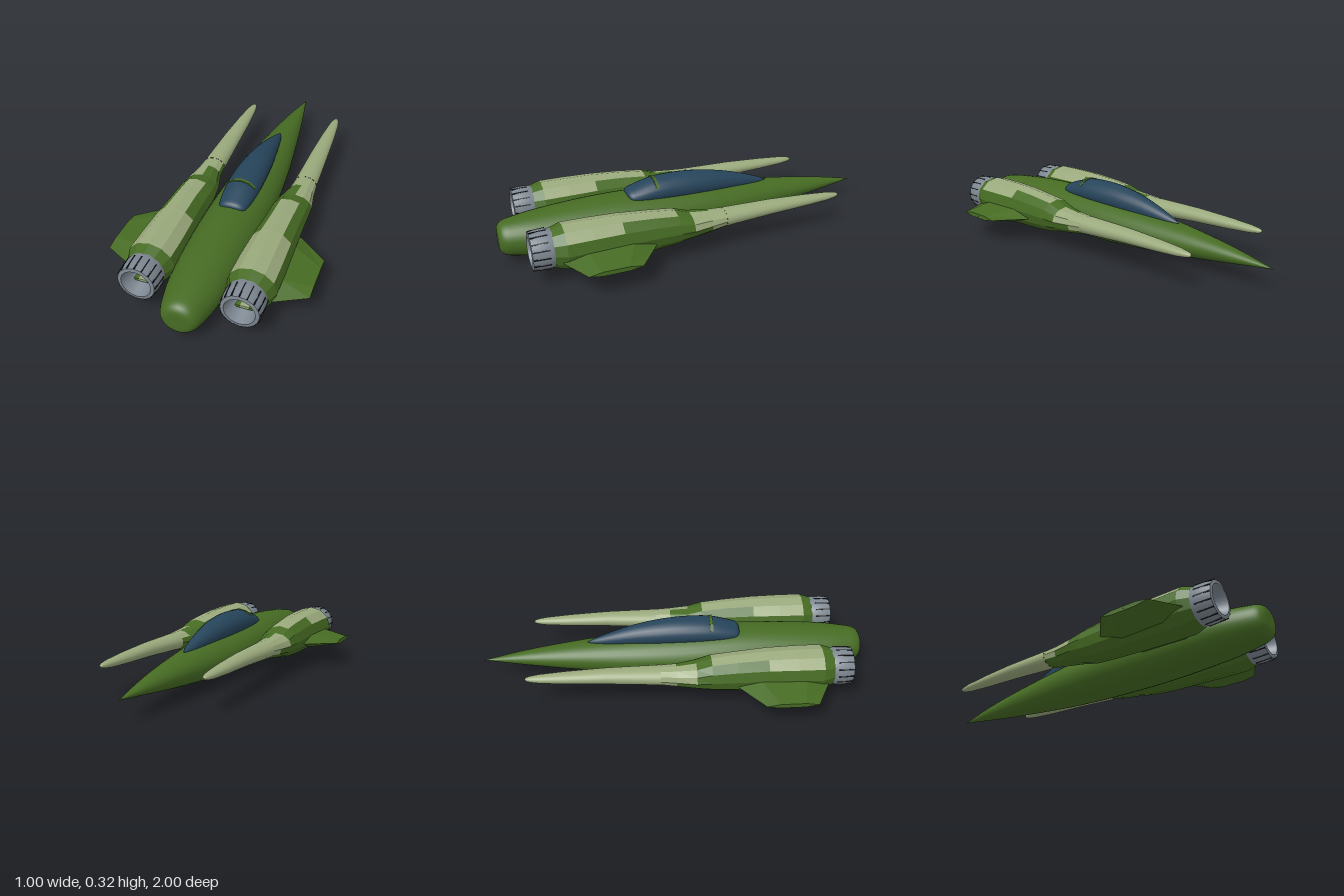
import * as THREE from 'three';

const mat = (name, color) => {
  const m = new THREE.MeshStandardMaterial({ color });
  m.name = name;
  return m;
};

// Skin a list of closed rings; keep(i, j) chooses which quads are built.
function loft(rings, flat = false, keep = () => true) {
  const n = rings[0].length, idx = [];
  for (let i = 0; i < rings.length - 1; i++)
    for (let j = 0; j < n; j++) {
      if (!keep(i, j)) continue;
      const k = (j + 1) % n;
      const a = i * n + j, b = i * n + k, c = a + n, d = b + n;
      idx.push(a, c, b, b, c, d);
    }
  let g = new THREE.BufferGeometry();
  g.setAttribute('position', new THREE.Float32BufferAttribute(rings.flat(2), 3));
  g.setIndex(idx);
  if (flat) g = g.toNonIndexed();
  g.computeVertexNormals();
  return g;
}

// Elliptical ring across z, starting at the top and turning towards +x.
function oval(n, z, cx, cy, rx, ry) {
  return Array.from({ length: n }, (_, j) => {
    const a = (j / n) * Math.PI * 2;
    return [cx + rx * Math.sin(a), cy + ry * Math.cos(a), z];
  });
}

// Smooth the rows [z, halfWidth, bottom, top] with a curve and make rings.
function hull(rows, n, steps) {
  const w = new THREE.CatmullRomCurve3(rows.map(r => new THREE.Vector3(r[1], r[2], r[3])), false, 'catmullrom', 0.5);
  const zc = new THREE.CatmullRomCurve3(rows.map(r => new THREE.Vector3(r[0], 0, 0)), false, 'catmullrom', 0.5);
  return Array.from({ length: steps + 1 }, (_, i) => {
    const p = w.getPoint(i / steps), z = zc.getPoint(i / steps).x;
    return oval(n, z, 0, (p.y + p.z) / 2, Math.max(p.x, 0.0005), Math.max((p.z - p.y) / 2, 0.0005));
  });
}

export function createModel() {
  const green = mat('hull green', 0x466b23);
  const tan = mat('pale green panel', 0x9aa97c);
  const glass = mat('canopy blue', 0x26445a);
  const grey = mat('nozzle grey', 0x7d8791);
  const glow = mat('engine glow', 0x9fd2c4);
  const dark = mat('slot black', 0x16191c);

  const model = new THREE.Group();
  const add = (name, geo, material, parent = model) => {
    const m = new THREE.Mesh(geo, material);
    m.name = name;
    parent.add(m);
    return m;
  };

  // Fuselage: needle nose at -z, blunt tail at +z
  add('fuselage', loft(hull([
    [-1, 0, 0.105, 0.105], [-0.8, 0.04, 0.08, 0.145], [-0.6, 0.073, 0.056, 0.176],
    [-0.4, 0.102, 0.036, 0.2], [-0.2, 0.128, 0.02, 0.22], [0, 0.145, 0.009, 0.236],
    [0.2, 0.152, 0.003, 0.248], [0.4, 0.152, 0, 0.255], [0.6, 0.146, 0.006, 0.25],
    [0.8, 0.13, 0.018, 0.236], [0.92, 0.106, 0.032, 0.222], [0.97, 0.09, 0.043, 0.212],
    [0.993, 0.07, 0.062, 0.192], [1, 0.045, 0.085, 0.165], [1, 0, 0.125, 0.125],
  ], 32, 56)), green);

  // Canopy with one raised frame hoop
  add('canopy', loft(hull([
    [-0.45, 0, 0.197, 0.197], [-0.4, 0.02, 0.175, 0.22], [-0.3, 0.04, 0.175, 0.256],
    [-0.2, 0.056, 0.175, 0.285], [-0.1, 0.07, 0.177, 0.305], [0, 0.079, 0.18, 0.317],
    [0.1, 0.084, 0.183, 0.32], [0.2, 0.083, 0.188, 0.314], [0.3, 0.074, 0.2, 0.286],
    [0.34, 0.056, 0.215, 0.27], [0.35, 0, 0.24, 0.24],
  ], 24, 40)), glass);
  const hoop = [[0.19, 0.078, 0.06], [0.19, 0.087, 0.071], [0.205, 0.087, 0.071], [0.205, 0.078, 0.06]];
  add('canopyFrame', loft(hoop.map(([z, rx, ry]) => oval(12, z, 0, 0.249, rx, ry)), true,
    (i, j) => j < 2 || j > 9), green);

  // Wings: one tapered slab running tip to tip through the nacelles
  const wingRing = (x, z0, z1, cy, t) => {
    const q = (z1 - z0) * 0.25;
    return [[z1, 0], [z1 - q, t], [z0 + q, t], [z0, 0], [z0 + q, -t], [z1 - q, -t]]
      .map(([z, y]) => [x, cy + y, z]);
  };
  const tip = 0.498;
  add('wings', loft([
    wingRing(-tip, 0.545, 0.55, 0.126, 0.0005), wingRing(-tip, 0.42, 0.675, 0.126, 0.011),
    wingRing(-0.35, 0.305, 0.755, 0.13, 0.035), wingRing(0, 0.29, 0.76, 0.13, 0.035),
    wingRing(0.35, 0.305, 0.755, 0.13, 0.035), wingRing(tip, 0.42, 0.675, 0.126, 0.011),
    wingRing(tip, 0.545, 0.55, 0.126, 0.0005),
  ], true), green);

  // Nacelle sections: z, centre x, centre y, half width, half height
  const sections = [
    [-0.752, 0.26, 0.167, 0.001, 0.001], [-0.745, 0.26, 0.167, 0.011, 0.009],
    [-0.725, 0.26, 0.167, 0.018, 0.014], [-0.68, 0.26, 0.167, 0.026, 0.02],
    [-0.55, 0.26, 0.168, 0.037, 0.028], [-0.35, 0.26, 0.169, 0.048, 0.036],
    [-0.08, 0.26, 0.162, 0.06, 0.045], [0, 0.26, 0.157, 0.067, 0.054],
    [0.1, 0.254, 0.155, 0.09, 0.064], [0.175, 0.25, 0.158, 0.097, 0.086],
    [0.3, 0.25, 0.16, 0.1, 0.099], [0.455, 0.247, 0.164, 0.109, 0.107],
    [0.6, 0.246, 0.164, 0.116, 0.11], [0.73, 0.246, 0.164, 0.118, 0.11],
    [0.785, 0.246, 0.164, 0.096, 0.094],
  ];
  const POD = 6; // strips ahead of this are the smooth spear-like pod

  for (const s of [1, -1]) {
    const side = new THREE.Group();
    side.name = s > 0 ? 'leftNacelle' : 'rightNacelle';
    model.add(side);

    // Pod and twelve-sided nacelle body, painted by facet
    const fine = sections.slice(0, POD + 1).map(([z, x, ...r]) => oval(24, z, s * x, ...r));
    add('forwardPod', loft(fine), tan, side);
    const body = sections.slice(POD).map(([z, x, ...r]) => oval(12, z, s * x, ...r));
    const isTan = (i, j) => {
      const f = s > 0 ? j : 11 - j; // facet counted from the top outwards
      if (i === 0) return f < 4 || f > 9;
      if (i === 1) return f < 3;
      if (i === 3 || i === 4) return f < 1 || f > 10;
      if (i === 5 || i === 6) return f < 2 || f > 9;
      return false;
    };
    add('nacelleBody', loft(body, true, (i, j) => !isTan(i, j)), green, side);
    add('nacellePanels', loft(body, true, isTan), tan, side);

    // Nozzle: outer shell, rim and inner funnel
    const nozzle = new THREE.Group();
    nozzle.name = 'nozzle';
    nozzle.position.set(s * 0.245, 0.165, 0);
    side.add(nozzle);
    const strips = [
      ['nozzleShell', [[0.084, 0.755], [0.091, 0.775], [0.097, 0.81], [0.096, 0.85], [0.09, 0.885]]],
      ['nozzleRim', [[0.09, 0.885], [0.073, 0.888]]],
      ['nozzleFunnel', [[0.073, 0.888], [0.064, 0.85], [0.048, 0.795]]],
    ];
    for (const [name, pts] of strips)
      add(name, new THREE.LatheGeometry(pts.map(p => new THREE.Vector2(...p)), 32).rotateX(Math.PI / 2), grey, nozzle)
        .material.side = THREE.DoubleSide;
    add('engineGlow', new THREE.CircleGeometry(0.05, 32).translate(0, 0, 0.796), glow, nozzle);

    // Small vane inside the exhaust
    add('exhaustVane', new THREE.BoxGeometry(0.085, 0.012, 0.03).translate(0, -0.036, 0.81), green, nozzle);
    add('vanePanel', new THREE.BoxGeometry(0.04, 0.013, 0.031).translate(0, -0.035, 0.81), tan, nozzle);

    // Slots around the nozzle
    for (let k = 0; k < 16; k++) {
      const slot = add('nozzleSlot', new THREE.BoxGeometry(0.006, 0.009, 0.08).rotateX(0.05)
        .translate(0, 0.0925, 0.844), dark, nozzle);
      slot.rotation.z = (k / 16) * Math.PI * 2;
    }
  }
  return model;
}
